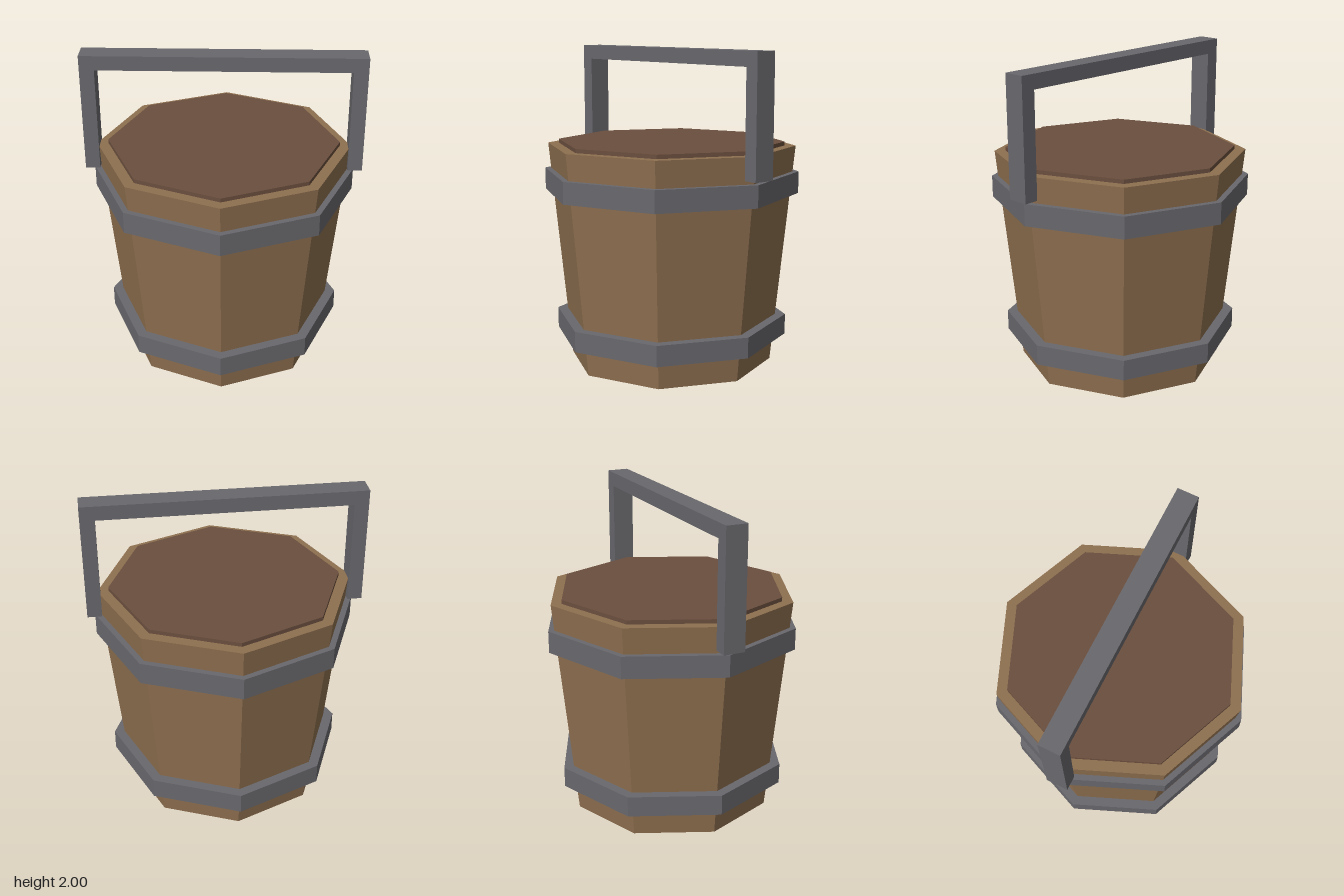
import * as THREE from 'three';

export function createModel() {
  const group = new THREE.Group();
  const material = (name, color) => {
    const m = new THREE.MeshStandardMaterial({ color, flatShading: true });
    m.name = name;
    return m;
  };
  const wood = material('wood', 0x8f7050);
  const lidWood = material('darkWood', 0x6b4f3e);
  const iron = material('iron', 0x69686d);

  const add = (name, geometry, mat) => {
    const mesh = new THREE.Mesh(geometry, mat);
    mesh.name = name;
    group.add(mesh);
    return mesh;
  };

  // Eight-sided solid between two heights
  const octagon = (name, rBottom, rTop, y0, y1, mat) => {
    const geometry = new THREE.CylinderGeometry(rTop, rBottom, y1 - y0, 8);
    geometry.translate(0, (y0 + y1) / 2, 0);
    return add(name, geometry, mat);
  };

  // Tapered bucket and its lid
  octagon('bucketBody', 0.65, 0.79, 0, 1.395, wood);
  octagon('lid', 0.72, 0.72, 1.33, 1.42, lidWood);

  // Iron hoops
  octagon('lowerHoop', 0.745, 0.745, 0.17, 0.3, iron);
  octagon('upperHoop', 0.812, 0.812, 1.095, 1.232, iron);

  // Square handle, an upside-down U
  const outline = [
    [-0.86, 1.257], [-0.77, 1.257], [-0.77, 1.91], [0.77, 1.91],
    [0.77, 1.257], [0.86, 1.257], [0.86, 2], [-0.86, 2],
  ].map(([x, y]) => new THREE.Vector2(x, y));
  const handle = new THREE.ExtrudeGeometry(new THREE.Shape(outline), { depth: 0.136, bevelEnabled: false });
  handle.translate(0, 0, -0.068);
  add('handle', handle, iron);

  return group;
}
